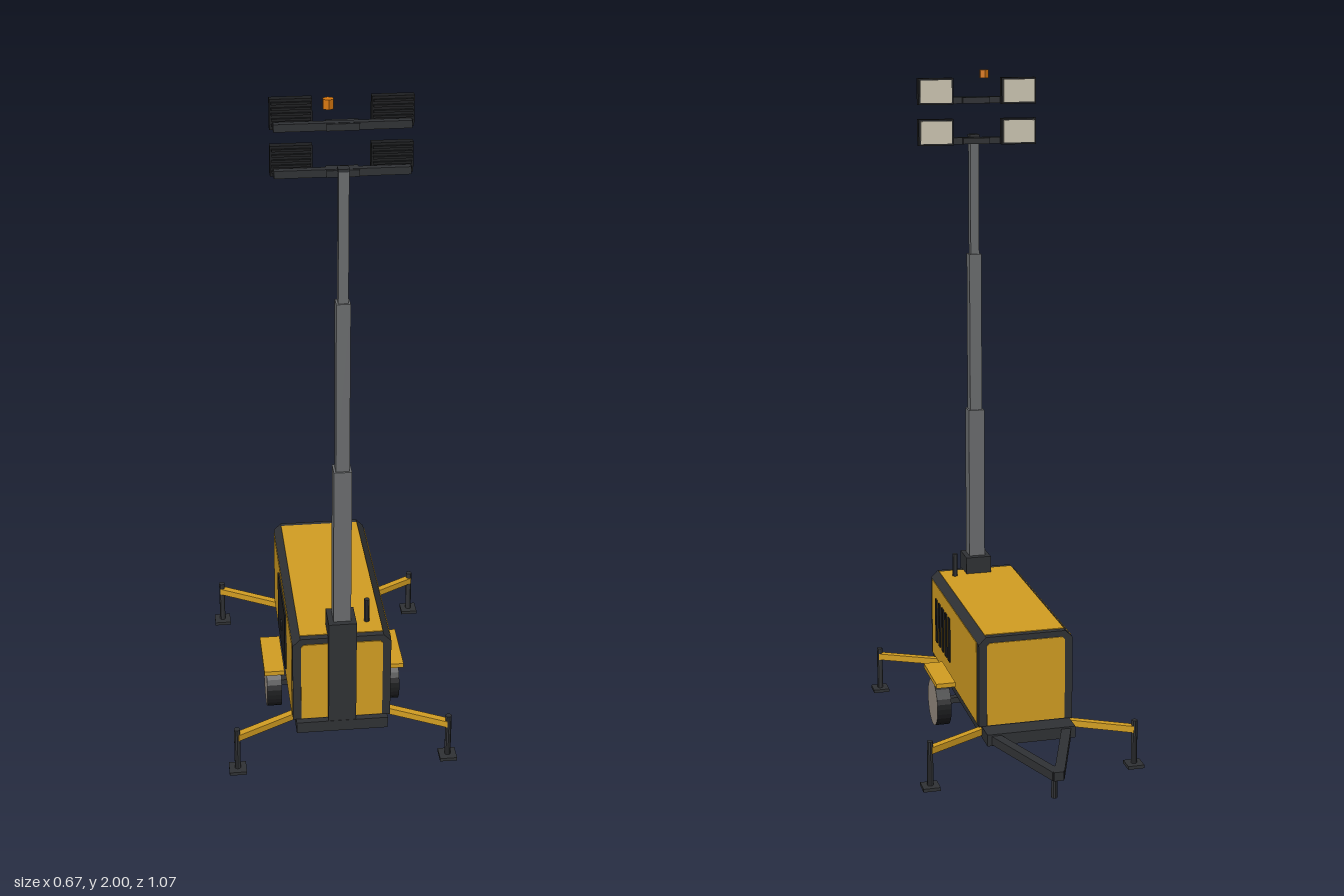
import * as THREE from 'three';

const mat = (color) => new THREE.MeshStandardMaterial({ color, flatShading: true });

export function createModel() {
  const root = new THREE.Group();
  const yellow = mat(0xd39e22), dark = mat(0x303235), black = mat(0x1d1e20);
  const steel = mat(0x6b6d6f), disc = mat(0x958b80), lens = mat(0xcfc8b4), orange = mat(0xd9780f);

  const add = (name, geo, material, x, y, z, parent = root) => {
    const m = new THREE.Mesh(geo, material);
    m.name = name;
    m.position.set(x, y, z);
    parent.add(m);
    return m;
  };
  // Box given by its min and max on each axis
  const box = (name, material, [x0, x1], [y0, y1], [z0, z1], parent) =>
    add(name, new THREE.BoxGeometry(x1 - x0, y1 - y0, z1 - z0), material,
      (x0 + x1) / 2, (y0 + y1) / 2, (z0 + z1) / 2, parent);
  const rod = (name, material, r, x, [y0, y1], z, sides = 10, parent) =>
    add(name, new THREE.CylinderGeometry(r, r, y1 - y0, sides), material, x, (y0 + y1) / 2, z, parent);
  // Level beam between two points in plan
  const beam = (name, material, [xa, za], [xb, zb], y, w, h, parent) => {
    const dx = xb - xa, dz = zb - za;
    const m = add(name, new THREE.BoxGeometry(w, h, Math.hypot(dx, dz)), material,
      (xa + xb) / 2, y, (za + zb) / 2, parent);
    m.rotation.y = Math.atan2(dx, dz);
    return m;
  };
  // Gable section with chamfered shoulders, extruded along z
  const gable = (w, y0, y1, c, z0, z1) => {
    const s = new THREE.Shape([[-w, y0], [w, y0], [w, y1 - c], [w - c, y1], [c - w, y1], [-w, y1 - c]]
      .map(([x, y]) => new THREE.Vector2(x, y)));
    return new THREE.ExtrudeGeometry(s, { depth: z1 - z0, bevelEnabled: false }).translate(0, 0, z0);
  };

  // Chassis and housing: dark frame with slightly raised yellow panels
  box('chassis', dark, [-0.133, 0.133], [0.1, 0.135], [-0.248, 0.487]);
  add('housingFrame', gable(0.142, 0.134, 0.41, 0.022, -0.183, 0.468), dark, 0, 0, 0);
  add('endPanels', gable(0.118, 0.138, 0.392, 0.008, -0.186, 0.471), yellow, 0, 0, 0);
  box('roofPanel', yellow, [-0.12, 0.12], [0.39, 0.412], [-0.165, 0.45]);
  box('sidePanels', yellow, [-0.144, 0.144], [0.138, 0.388], [-0.16, 0.45]);

  // Louvres on the left side, control door on the right
  for (let i = 0; i < 5; i++) {
    const z = 0.195 + i * 0.045;
    box('ventSlot', black, [0.14, 0.148], [0.2, 0.342], [z - 0.011, z + 0.011]);
  }
  box('controlDoor', black, [-0.149, -0.14], [0.18, 0.37], [0.04, 0.28]);
  box('doorHandle', dark, [-0.153, -0.147], [0.26, 0.29], [0.175, 0.195]);
  rod('exhaustPipe', dark, 0.008, 0.08, [0.4, 0.485], 0.393);

  // Telescopic mast
  const mast = new THREE.Group();
  mast.name = 'mast';
  root.add(mast);
  box('mastColumn', dark, [-0.04, 0.04], [0.11, 0.465], [0.4, 0.486], mast);
  [[0.025, 0.46, 0.945], [0.019, 0.94, 1.44], [0.0135, 1.43, 1.802]].forEach(([h, y0, y1]) =>
    box('mastSection', steel, [-h, h], [y0, y1], [0.445 - h, 0.445 + h], mast));
  box('mastCap', dark, [-0.015, 0.015], [1.8, 1.808], [0.43, 0.46], mast);

  // Two rows of floodlights facing the rear
  for (const y of [1.79, 1.912]) {
    const row = new THREE.Group();
    row.name = 'lampRow';
    root.add(row);
    box('lampBar', dark, [-0.175, 0.175], [y - 0.01, y + 0.01], [0.415, 0.435], row);
    box('barBracket', dark, [-0.042, 0.042], [y - 0.009, y + 0.009], [0.402, 0.442], row);
    for (const s of [-1, 1]) {
      const x = s * 0.129;
      box('lampHousing', black, [x - 0.054, x + 0.054], [y - 0.011, y + 0.068], [0.388, 0.411], row);
      box('lampLens', lens, [x - 0.048, x + 0.048], [y - 0.005, y + 0.062], [0.384, 0.39], row);
      for (let i = 0; i < 5; i++) {
        const fy = y + 0.002 + i * 0.014;
        box('coolingFin', black, [x - 0.05, x + 0.05], [fy - 0.003, fy + 0.003], [0.41, 0.418], row);
      }
    }
  }
  rod('beacon', orange, 0.015, -0.043, [1.975, 2], 0.482, 6);

  // Wheels, fenders and axle
  for (const s of [-1, 1]) {
    const wheel = new THREE.CylinderGeometry(0.072, 0.072, 0.044, 28).rotateZ(Math.PI / 2);
    add('wheel', wheel, [black, disc, disc], s * 0.179, 0.073, 0.188);
    add('fender', new THREE.BoxGeometry(0.06, 0.014, 0.185), yellow, s * 0.18, 0.163, 0.182);
  }
  add('axle', new THREE.BoxGeometry(0.33, 0.018, 0.024), dark, 0, 0.076, 0.188);

  // Drawbar with its support leg
  for (const s of [-1, 1])
    beam('drawbar', dark, [s * 0.108, -0.24], [s * 0.004, -0.526], 0.117, 0.028, 0.026);
  box('coupling', dark, [-0.014, 0.014], [0.104, 0.13], [-0.535, -0.49]);
  rod('jackLeg', dark, 0.009, 0, [0.035, 0.11], -0.49);

  // Four outriggers
  for (const s of [-1, 1])
    for (const [xIn, zIn, zOut] of [[0.125, -0.168, -0.27], [0.125, 0.415, 0.51]]) {
      const leg = new THREE.Group();
      leg.name = 'outrigger';
      root.add(leg);
      beam('outriggerArm', yellow, [s * xIn, zIn], [s * 0.308, zOut], 0.118, 0.02, 0.02, leg);
      rod('outriggerPost', steel, 0.009, s * 0.308, [0.008, 0.145], zOut, 10, leg).material = dark;
      add('footPad', new THREE.BoxGeometry(0.05, 0.01, 0.05), dark, s * 0.308, 0.005, zOut, leg);
    }

  return root;
}
